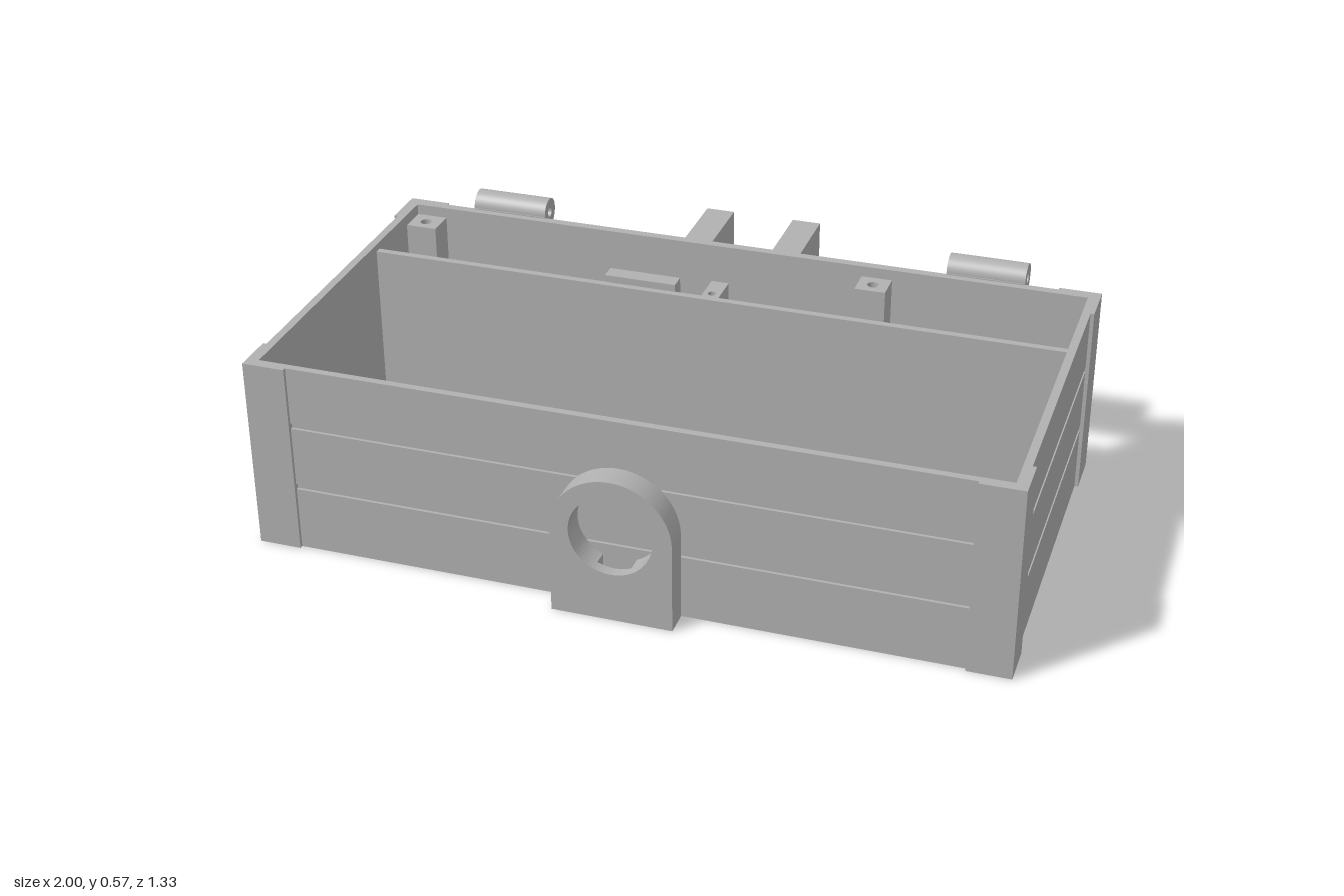
import * as THREE from 'three';

const grey = new THREE.MeshStandardMaterial({ color: 0xb0b0b0 });
grey.name = 'grey';

export function createModel() {
  const root = new THREE.Group();
  root.name = 'plankBox';

  const add = (name, geo) => {
    const m = new THREE.Mesh(geo, grey);
    m.name = name;
    root.add(m);
    return m;
  };
  const box = (name, x0, x1, y0, y1, z0, z1) =>
    add(name, new THREE.BoxGeometry(x1 - x0, y1 - y0, z1 - z0)
      .translate((x0 + x1) / 2, (y0 + y1) / 2, (z0 + z1) / 2));
  const rect = (x0, x1, y0, y1, S = THREE.Shape) => {
    const s = new S();
    s.moveTo(x0, y0); s.lineTo(x1, y0); s.lineTo(x1, y1); s.lineTo(x0, y1); s.closePath();
    return s;
  };
  const hole = (shape, x, y, r) => {
    const p = new THREE.Path();
    p.absarc(x, y, r, 0, Math.PI * 2, true);
    shape.holes.push(p);
    return shape;
  };
  const extrude = (shape, depth) =>
    new THREE.ExtrudeGeometry(shape, { depth, bevelEnabled: false, curveSegments: 32 });
  // Shapes drawn in (x, -z) and raised from y0 to y1
  const raise = (name, shape, y0, y1) =>
    add(name, extrude(shape, y1 - y0).rotateX(-Math.PI / 2).translate(0, y0, 0));

  const H = 0.53;
  const planks = [[0.03, 0.175], [0.19, 0.355], [0.37, H]];

  // Floor: lower layer with an angled cable channel, upper layer with the cable hole
  const low = new THREE.Shape(), w = 0.045, ex = 0.36, ey = 0.3;
  low.moveTo(-0.99, -0.59);
  low.lineTo(-0.045, -0.59);
  low.lineTo(ex - 0.928 * w, ey + 0.371 * w);
  low.absarc(ex, ey, w, 2.76, -0.38, true);
  low.lineTo(0.052, -0.59);
  low.lineTo(0.99, -0.59);
  low.lineTo(0.99, 0.445);
  low.lineTo(-0.99, 0.445);
  low.closePath();
  raise('floorBottom', low, 0, 0.03);
  raise('floorTop', hole(rect(-0.98, 0.98, -0.58, 0.435), ex, ey, w), 0.03, 0.06);

  // Front and side walls: inner panel with three planks outside
  box('frontPanel', -0.97, 0.97, 0.03, H, 0.57, 0.582);
  for (const [a, b] of planks) box('frontPlank', -0.89, 0.89, a, b, 0.58, 0.59);
  for (const s of [-1, 1]) {
    const span = (p, q) => (s > 0 ? [p, q] : [-q, -p]);
    box('sidePanel', ...span(0.968, 0.982), 0.03, H, -0.44, 0.59);
    for (const [a, b] of planks) box('sidePlank', ...span(0.98, 0.99), a, b, -0.335, 0.49);
    // Corner posts as two overlapping legs
    box('frontCorner', ...span(0.885, 1), 0, H, 0.572, 0.6);
    box('frontCornerSide', ...span(0.972, 1), 0, H, 0.485, 0.6);
    box('backCornerSide', ...span(0.972, 1), 0, H, -0.455, -0.33);
  }

  // Back wall with a rectangular opening through panel and corner
  const back = rect(-0.97, 0.97, 0.03, H);
  back.holes.push(rect(0.74, 0.94, 0.175, 0.355, THREE.Path));
  add('backPanel', extrude(back, 0.014).translate(0, 0, -0.434));
  planks.forEach(([a, b], i) =>
    box('backPlank', -0.89, i === 1 ? 0.74 : 0.89, a, b, -0.445, -0.432));
  box('backCorner', -1, -0.885, 0, H, -0.455, -0.422);
  box('backCornerBottom', 0.885, 1, 0, 0.175, -0.455, -0.422);
  box('backCornerTop', 0.885, 1, 0.355, H, -0.455, -0.422);
  box('backCornerMiddle', 0.94, 1, 0.175, 0.355, -0.455, -0.422);

  // Divider, thin rails behind it and small clips
  box('divider', -0.97, 0.97, 0.05, 0.51, -0.155, -0.135);
  box('rail', -0.97, -0.42, 0.05, 0.49, -0.174, -0.164);
  box('rail', 0.2, 0.96, 0.05, 0.49, -0.174, -0.164);
  for (const [x0, x1, z0] of [[-0.09, -0.05, -0.25], [0.15, 0.19, -0.25], [0.54, 0.58, -0.21], [0.9, 0.93, -0.21]])
    box('clip', x0, x1, 0.05, 0.25, z0, -0.15);
  box('wallLedge', -0.97, -0.95, 0.05, 0.25, -0.32, -0.18);

  // Open-faced holder on the divider
  const frame = rect(-0.3, -0.1, 0.38, H);
  frame.holes.push(rect(-0.275, -0.125, 0.41, 0.5, THREE.Path));
  add('holder', extrude(frame, 0.045).translate(0, 0, -0.2));
  box('holderBack', -0.3, -0.1, 0.38, H, -0.165, -0.154);

  // Drilled mounting blocks in the rear compartment: x0, x1, z0, z1, top
  for (const [x0, x1, z0, z1, top] of [
    [-0.97, -0.88, -0.425, -0.34, 0.5], [0.35, 0.435, -0.425, -0.34, 0.5],
    [-0.42, -0.37, -0.425, -0.29, 0.35], [-0.08, -0.03, -0.425, -0.29, 0.42]]) {
    const big = x1 - x0 > 0.06;
    raise('mountBlock', hole(rect(x0, x1, -z1, -z0), (x0 + x1) / 2, big ? 0.378 : 0.345,
      big ? 0.016 : 0.012), 0.05, top);
  }
  const peg = new THREE.Shape();
  peg.absarc(0.59, 0.36, 0.045, 0, Math.PI * 2);
  raise('roundPeg', hole(peg, 0.59, 0.36, 0.018), 0.05, 0.2);

  // Arched plate on the front with a round recess; rear layer has a cable slot
  const arch = (slot) => {
    const s = new THREE.Shape();
    s.moveTo(-0.16, 0);
    if (slot) {
      s.lineTo(-0.045, 0);
      s.lineTo(-0.045, 0.145);
      s.absarc(0, 0.245, 0.11, Math.PI * 1.5 - 0.42, Math.PI * 1.5 + 0.42, true);
      s.lineTo(0.045, 0);
    }
    s.lineTo(0.16, 0);
    s.lineTo(0.16, 0.24);
    s.absarc(0, 0.24, 0.16, 0, Math.PI);
    s.closePath();
    return slot ? s : hole(s, 0, 0.245, 0.11);
  };
  add('archFront', extrude(arch(false), 0.03).translate(0, 0, 0.63));
  add('archBack', extrude(arch(true), 0.042).translate(0, 0, 0.588));

  // Rear mounting posts with two bolt holes each, and a low lug between them
  for (const x of [-0.13, 0.125]) {
    const s = rect(x - 0.04, x + 0.04, 0, 0.523);
    hole(s, x, 0.36, 0.02);
    hole(s, x, 0.1, 0.02);
    add('rearPost', extrude(s, 0.225).translate(0, 0, -0.665));
  }
  box('rearLug', -0.02, 0.02, 0.03, 0.2, -0.54, -0.44);

  // Hinge knuckles, profile in (distance behind, height)
  const knuckle = new THREE.Shape();
  knuckle.moveTo(0.44, 0.39);
  knuckle.lineTo(0.45, 0.4);
  knuckle.lineTo(0.518, 0.512);
  knuckle.absarc(0.483, 0.533, 0.04, -0.54, Math.PI);
  knuckle.lineTo(0.44, 0.533);
  knuckle.closePath();
  hole(knuckle, 0.483, 0.533, 0.014);
  for (const x of [-0.8, 0.58])
    add('hinge', extrude(knuckle, 0.215).rotateY(Math.PI / 2).translate(x, 0, 0));

  return root;
}
